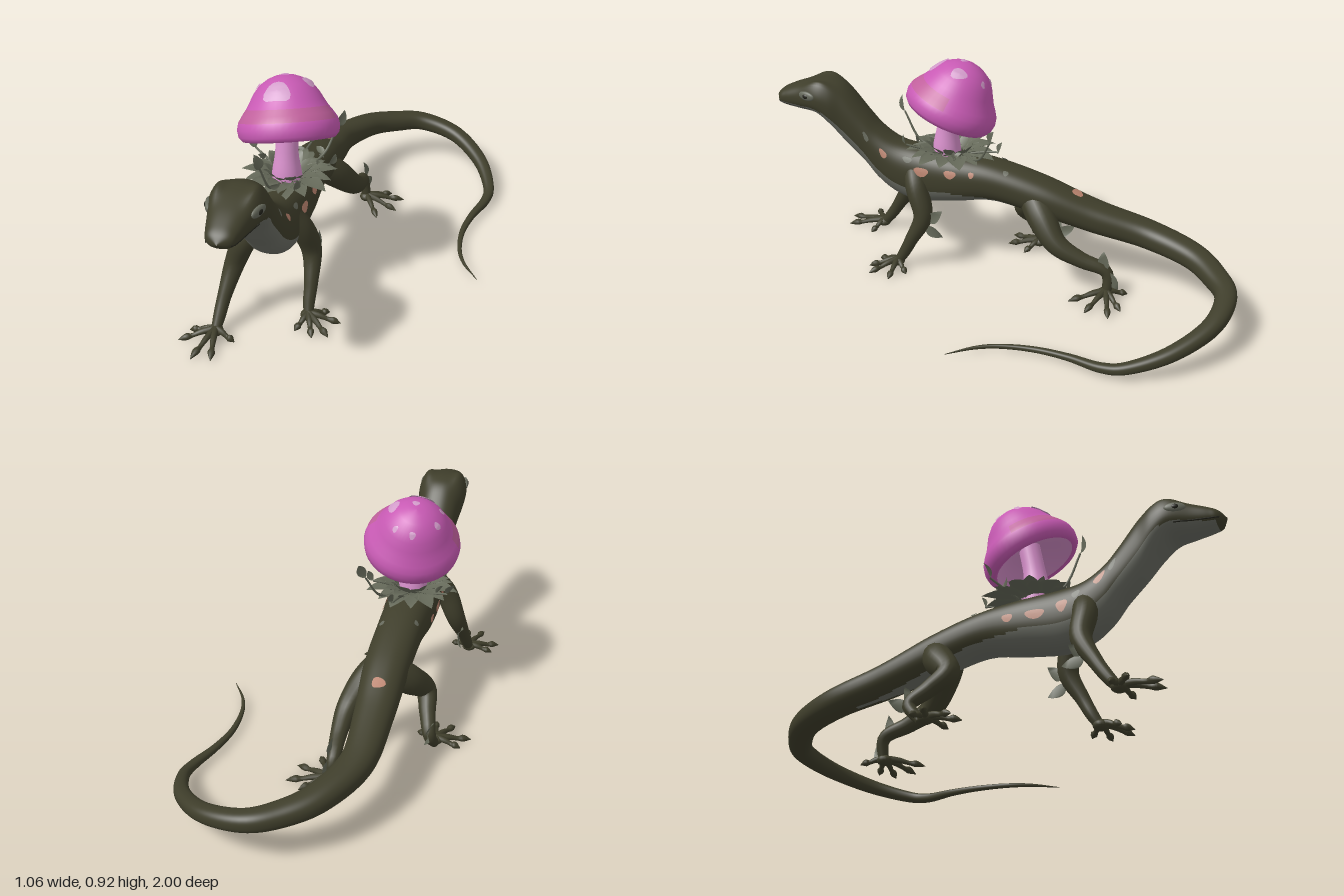
import * as THREE from 'three';

const V = (x, y, z) => new THREE.Vector3(x, y, z);
const mat = (name, color, side = THREE.FrontSide) => {
  const m = new THREE.MeshStandardMaterial({ color, side });
  m.name = name;
  return m;
};

// Skin over a list of point rings; isSecond(i, j) picks quads for the second material
function loft(rings, isSecond = () => false) {
  const n = rings[0].length, first = [], second = [];
  for (let i = 0; i < rings.length - 1; i++) {
    for (let j = 0; j < n; j++) {
      const a = i * n + j, b = i * n + (j + 1) % n;
      (isSecond(i, j) ? second : first).push(a, a + n, b, b, a + n, b + n);
    }
  }
  const g = new THREE.BufferGeometry().setFromPoints(rings.flat());
  g.setIndex([...first, ...second]);
  g.addGroup(0, first.length, 0);
  g.addGroup(first.length, second.length, 1);
  g.computeVertexNormals();
  return g;
}

// Round tube through points [x, y, z, radius]
function limb(pts, steps = 20, sides = 12) {
  const curve = new THREE.CatmullRomCurve3(pts.map(p => V(p[0], p[1], p[2])), false, 'catmullrom');
  const radii = new THREE.CatmullRomCurve3(pts.map(p => V(p[3], 0, 0)), false, 'catmullrom');
  const rings = [];
  let normal = V(0.3, 0.2, 1);
  for (let i = 0; i <= steps; i++) {
    const t = i / steps, c = curve.getPoint(t), tan = curve.getTangent(t), r = Math.max(radii.getPoint(t).x, 0.001);
    normal = normal.clone().addScaledVector(tan, -normal.dot(tan)).normalize();
    const bin = tan.clone().cross(normal);
    rings.push(Array.from({ length: sides }, (_, j) => {
      const a = j / sides * Math.PI * 2;
      return c.clone().addScaledVector(normal, r * Math.cos(a)).addScaledVector(bin, -r * Math.sin(a));
    }));
  }
  return loft(rings);
}

// Body and tail sections: x, z, top, bottom, half width
const SECTIONS = [
  [-.2, .999, .691, .689, .001], [-.2, .975, .718, .662, .045], [-.2, .94, .738, .652, .06],
  [-.2, .88, .762, .645, .076], [-.2, .8, .782, .637, .1], [-.2, .74, .782, .585, .1],
  [-.2, .68, .752, .51, .086], [-.2, .6, .66, .43, .08], [-.2, .54, .595, .36, .084],
  [-.2, .46, .543, .305, .092], [-.2, .36, .525, .28, .095], [-.2, .2, .515, .3, .1],
  [-.2, .03, .495, .325, .092], [-.2, -.18, .44, .28, .088], [-.21, -.39, .358, .225, .076],
  [-.21, -.61, .297, .183, .065], [-.13, -.8, .265, .165, .057], [-.02, -.905, .24, .15, .05],
  [.1, -.96, .222, .142, .043], [.265, -.925, .185, .115, .037], [.4, -.8, .128, .068, .031],
  [.468, -.65, .075, .028, .024], [.468, -.55, .053, .015, .02], [.43, -.42, .043, .015, .015],
  [.41, -.29, .036, .013, .012], [.42, -.16, .032, .013, .009], [.455, -.06, .028, .014, .006],
  [.525, .04, .02, .018, .001]];
const spine = new THREE.CatmullRomCurve3(SECTIONS.map(s => V(s[0], (s[2] + s[3]) / 2, s[1])), false, 'catmullrom');
const sizes = new THREE.CatmullRomCurve3(SECTIONS.map(s => V(s[4], (s[2] - s[3]) / 2, 0)), false, 'catmullrom');
const bend = v => Math.sign(v) * Math.abs(v) ** 0.87;

// Point on the skin at spine position t and angle a, raised into brow ridges over the eyes
function skin(t, a, off = 0) {
  const c = spine.getPoint(t), s = sizes.getPoint(t), d = spine.getTangent(t);
  const side = V(-d.z, 0, d.x).normalize();
  c.addScaledVector(side, (Math.max(s.x, .001) + off) * bend(Math.cos(a)));
  c.y += (Math.max(s.y, .001) + off) * bend(Math.sin(a));
  const ridge = ((c.z - .79) / .07) ** 2 + ((Math.abs(c.x + .2) - .074) / .026) ** 2;
  c.y += .027 * Math.exp(-ridge) * Math.max(0, Math.sin(a));
  return c;
}
function spineAt(z) {
  let lo = 0, hi = 0.6;
  for (let i = 0; i < 30; i++) {
    const m = (lo + hi) / 2;
    if (spine.getPoint(m).z > z) lo = m; else hi = m;
  }
  return lo;
}

// Disc of rings laid on a surface given by at(u, v), both in -1..1
function patch(at) {
  const rings = [1, .7, .35, .001].map(r => Array.from({ length: 16 }, (_, j) => {
    const a = j / 16 * Math.PI * 2, w = r * (1 + .1 * Math.sin(3 * a));
    return at(w * Math.cos(a), w * Math.sin(a));
  }));
  return loft(rings);
}

export function createModel() {
  const root = new THREE.Group();
  const M = {
    skin: mat('dark olive skin', 0x3f3e2b), belly: mat('grey belly', 0x6a6c63),
    leaf: mat('leaf green', 0x666a5a, THREE.DoubleSide), cap: mat('mushroom pink', 0xc85ab4),
    band: mat('rose band', 0xc0609c), stalk: mat('pale pink', 0xd890cc),
    capSpot: mat('cap spot pink', 0xd29cca, THREE.DoubleSide), coral: mat('coral spot', 0xbb846f, THREE.DoubleSide),
    grey: mat('grey spot', 0x66695c, THREE.DoubleSide), dark: mat('near black', 0x22221a)
  };
  const add = (name, geo, material, parent = root) => {
    const m = new THREE.Mesh(geo, material);
    m.name = name;
    parent.add(m);
    return m;
  };
  const ball = (name, material, p, s) => {
    const m = add(name, new THREE.SphereGeometry(1, 20, 14), material);
    m.position.set(...p);
    m.scale.set(...s);
    return m;
  };

  // Body, head and tail in one skin with a pale underside
  const N = 180, K = 60;
  const rings = Array.from({ length: N + 1 }, (_, i) =>
    Array.from({ length: K }, (_, j) => skin(i / N, j / K * Math.PI * 2)));
  const bellyWidth = t => t < .05 ? 0 : Math.min(71, 52 + (t - .05) * 150, (.54 - t) * 500);
  add('body', loft(rings, (i, j) => Math.abs((j + .5) * 360 / K - 270) < bellyWidth(i / N)), [M.skin, M.belly]);

  // Face
  for (const s of [-1, 1]) {
    const x = o => -.2 + s * o;
    ball('eye', M.grey, [x(.088), .73, .83], [.011, .02, .04]).rotation.y = -s * .3;
    ball('pupil', M.dark, [x(.0935), .73, .832], [.008, .011, .015]).rotation.y = -s * .3;
    const mouth = Array.from({ length: 9 }, (_, i) => {
      const a = -.35 - .02 * i;
      return skin(.035 + i * .013, s > 0 ? a : Math.PI - a);
    });
    add('mouth line', new THREE.TubeGeometry(new THREE.CatmullRomCurve3(mouth), 20, .003, 6), M.dark);
  }

  // Skin spots: side, z, y, half length, half height, material
  const spots = [
    [1, .505, .505, .017, .014, M.coral], [1, .335, .447, .032, .016, M.coral], [1, .21, .452, .026, .014, M.coral],
    [1, .12, .458, .012, .011, M.coral], [1, .58, .57, .012, .013, M.grey], [1, .4, .487, .02, .012, M.grey],
    [1, -.02, .47, .012, .01, M.grey], [-1, .53, .51, .022, .014, M.coral], [-1, .58, .555, .014, .013, M.grey],
    [-1, .385, .425, .022, .016, M.coral], [-1, .28, .41, .038, .012, M.coral], [-1, .17, .415, .022, .01, M.coral],
    [-1, .44, .46, .016, .012, M.grey], [-1, .02, .47, .012, .01, M.grey], [-1, -.31, .389, .022, .016, M.coral]];
  for (const [s, z, y, l, h, m] of spots) {
    const t = spineAt(z), r = sizes.getPoint(t);
    const v = THREE.MathUtils.clamp((y - spine.getPoint(t).y) / r.y, -1, 1);
    const a = Math.asin(Math.sign(v) * Math.abs(v) ** (1 / .87));
    add('skin spot', patch((u, w) => {
      const b = a + w * h / r.y * 1.2;
      return skin(spineAt(z + u * l), s > 0 ? b : Math.PI - b, .004);
    }), m);
  }

  // Legs: path with radii, foot centre and toe tips [x, z]
  const legs = [
    { name: 'front right leg', foot: [-.385, .62], toes: [[-.51, .69], [-.425, .785], [-.35, .775], [-.3, .65], [-.49, .62]],
      path: [[-.25, .43, .46, .046], [-.3, .36, .475, .047], [-.345, .25, .475, .04], [-.37, .14, .535, .028], [-.38, .07, .58, .024], [-.385, .02, .62, .018]] },
    { name: 'front left leg', foot: [-.07, .44], toes: [[.06, .44], [.035, .535], [-.025, .555], [-.1, .53], [.0, .38]],
      path: [[-.15, .43, .38, .046], [-.11, .36, .355, .047], [-.085, .25, .325, .04], [-.075, .14, .375, .028], [-.075, .07, .41, .024], [-.07, .02, .44, .018]] },
    { name: 'hind right leg', foot: [-.395, -.11], toes: [[-.53, -.05], [-.45, .02], [-.37, .025], [-.31, -.06], [-.5, -.12]],
      path: [[-.22, .36, -.16, .06], [-.28, .3, -.12, .06], [-.335, .22, -.055, .044], [-.36, .155, -.12, .033], [-.385, .095, -.185, .026], [-.395, .02, -.13, .019]] },
    { name: 'hind left leg', foot: [-.06, -.47], toes: [[.105, -.51], [.09, -.41], [.02, -.33], [.04, -.55], [-.1, -.555]],
      path: [[-.18, .37, -.12, .06], [-.12, .3, -.18, .06], [-.07, .215, -.255, .045], [-.065, .16, -.36, .033], [-.075, .115, -.465, .026], [-.06, .02, -.475, .019]] }];
  for (const { name, foot, toes, path } of legs) {
    const g = new THREE.Group();
    g.name = name;
    root.add(g);
    add('leg', limb(path, 28, 16), M.skin, g);
    const palm = add('palm', new THREE.SphereGeometry(1, 16, 10), M.skin, g);
    palm.position.set(foot[0], .026, foot[1]);
    palm.scale.set(.031, .021, .031);
    for (const [x, z] of toes) {
      const p = (k, y, r) => [foot[0] + (x - foot[0]) * k, y, foot[1] + (z - foot[1]) * k, r];
      add('toe', limb([p(0, .034, .015), p(.35, .029, .012), p(.62, .018, .009), p(.78, .016, .014), p(1, .007, .001)], 14, 8), M.skin, g);
    }
  }

  // Mushroom
  add('mushroom stalk', limb([[-.2, .47, .245, .06], [-.2, .54, .25, .057], [-.2, .63, .243, .044], [-.2, .76, .22, .042]], 16, 24), M.stalk);
  const cap = new THREE.Group();
  cap.name = 'mushroom cap';
  cap.position.set(-.202, .757, .21);
  cap.rotation.set(-.39, 0, .16);
  root.add(cap);
  // Cap shell from the lip up to the crown, rose coloured across the front
  const lip = [[.16, -.078], [.176, -.083], [.19, -.066], [.194, -.038], [.188, -.012], [.173, .012]];
  const crown = [[.155, .036], [.14, .062], [.122, .094], [.098, .123], [.065, .145], [.032, .157], [.0005, .16]];
  const shell = [...lip, ...crown].map(([r, y]) => Array.from({ length: 48 }, (_, j) => {
    const a = j / 48 * Math.PI * 2;
    return V(r * Math.cos(a), y, r * Math.sin(a));
  }));
  add('cap shell', loft(shell, (i, j) => (i === 4 || i === 5) && j < 24), [M.cap, M.band], cap);
  const under = [[.02, -.012], [.07, -.02], [.12, -.042], [.16, -.078]];
  add('cap underside', new THREE.LatheGeometry(under.map(p => new THREE.Vector2(...p)), 48), M.stalk, cap);
  const heightAt = r => {
    const i = Math.max(1, crown.findIndex(p => p[0] <= r)), [a, b] = [crown[i - 1], crown[i]];
    return a[1] + (b[1] - a[1]) * (a[0] - r) / (a[0] - b[0]);
  };
  for (const [x, z, rx, rz] of [[.0, .116, .05, .026], [.092, .015, .02, .032], [.01, .03, .015, .013],
    [-.01, -.1, .012, .011], [-.09, -.03, .013, .013], [.06, -.085, .01, .01], [-.09, .05, .011, .011]]) {
    add('cap spot', patch((u, w) => {
      const px = x + u * rx, pz = z + w * rz;
      return V(px * 1.02, heightAt(Math.max(.001, Math.hypot(px, pz))) + .005, pz * 1.02);
    }), M.capSpot, cap);
  }

  // Folded pointed leaf, one unit long; its flat side looks towards face
  const shape = new THREE.Shape();
  shape.moveTo(0, 0);
  shape.bezierCurveTo(.38, .2, .38, .6, 0, 1);
  shape.bezierCurveTo(-.38, .6, -.38, .2, 0, 0);
  const leafGeo = new THREE.ShapeGeometry(shape, 8);
  const lp = leafGeo.attributes.position;
  for (let i = 0; i < lp.count; i++) lp.setZ(i, Math.abs(lp.getX(i)) * .5 - lp.getY(i) ** 2 * .12);
  leafGeo.computeVertexNormals();
  const leaf = (name, p, dir, size, face = [0, 1, 0]) => {
    const y = V(...dir).normalize(), x = y.clone().cross(V(...face)).normalize();
    const m = add(name, leafGeo, M.leaf);
    m.quaternion.setFromRotationMatrix(new THREE.Matrix4().makeBasis(x, y, x.clone().cross(y)));
    m.position.set(...p);
    m.scale.setScalar(size);
  };

  // Rosette around the stalk
  [[14, .05, .14, .2], [12, .045, .115, .55], [10, .052, .085, 1.5]].forEach(([n, r, size, lift], k) => {
    for (let i = 0; i < n; i++) {
      const a = (i + k * .4) / n * Math.PI * 2, c = Math.cos(a), s = Math.sin(a);
      leaf('rosette leaf', [-.2 + c * r, .506, .23 + s * r * 1.2], [c, lift, s], size * (i % 2 ? 1 : .85));
    }
  });

  // Curling sprigs with a leaf at the end
  for (const [x, y, z, size] of [[-.365, .56, .13, .06], [-.06, .64, .025, .07], [-.24, .655, .445, .07],
    [-.05, .55, .17, .05], [-.17, .55, .02, .05], [-.12, .56, .4, .05]]) {
    const mx = x + (-.2 - x) * .3, mz = z + (.22 - z) * .3;
    add('sprig', limb([[-.2 + (x + .2) * .2, .51, .22 + (z - .22) * .2, .005], [mx, .54, mz, .005], [x, y, z, .004]], 12, 6), M.leaf);
    leaf('sprig leaf', [x, y, z], [(x + .2) * .5, .15, (z - .22) * .2], size, [1, .2, 1]);
    leaf('sprig leaf', [mx, .54, mz], [z - .22, .12, -x - .2], size * .7, [1, .2, 1]);
  }

  // Leaves on the legs
  for (const [p, d] of [[[-.365, .16, .5], [-.1, .5, -.5]], [[-.365, .17, .49], [-.1, -.3, -.7]], [[-.085, .23, .3], [.1, .4, -.4]],
    [[-.08, .21, .31], [.05, -.4, -.6]], [[-.385, .08, -.185], [-.1, .9, -.1]], [[-.385, .08, -.19], [-.1, .5, -.9]],
    [[-.07, .125, -.46], [.1, 1, .1]], [[-.065, .12, -.48], [.1, -.6, -.3]]]) {
    leaf('leg leaf', p, d, .085, [1, .1, .15]);
  }
  return root;
}
